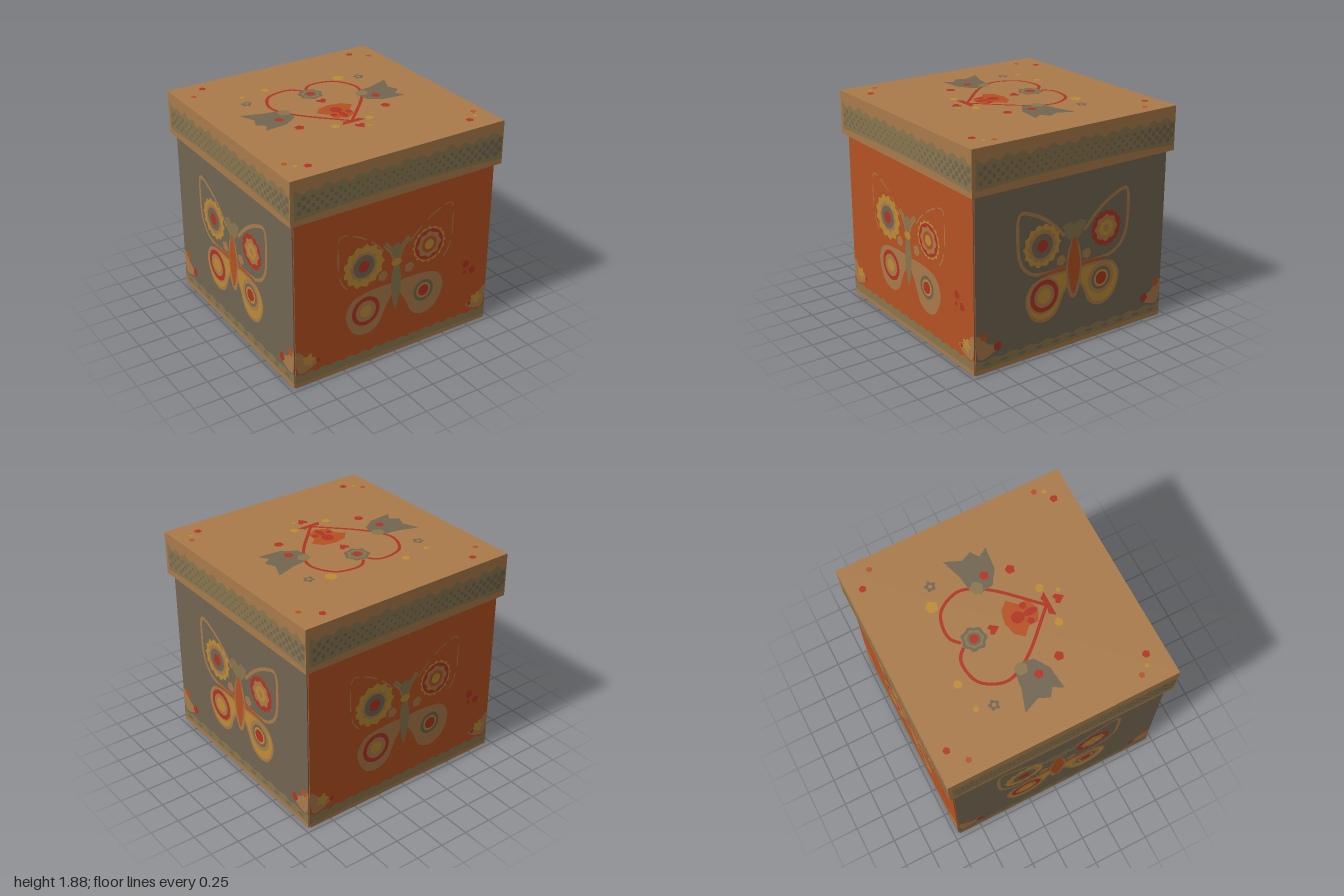
import * as THREE from 'three';

const mat = (name, color) => Object.assign(new THREE.MeshStandardMaterial({ color }), { name });
const tan = mat('tan', 0xaa7b4a), orange = mat('orange', 0xb55222), taupe = mat('taupe', 0x726651);
const olive = mat('olive', 0x8a764e), yellow = mat('yellow', 0xbd8c34), red = mat('red', 0xb23422);
const grey = mat('grey', 0xc4c4c4);

// ---- flat shape helpers ----
const poly = (pts) => new THREE.Shape(pts.map(([x, y]) => new THREE.Vector2(x, y)));
const mirror = (pts, axis = 0) => pts.map(([x, y]) => [2 * axis - x, y]);
const both = (make, pts, axis) => [make(pts), make(mirror(pts, axis))];
const curve = (pts, closed) =>
  new THREE.CatmullRomCurve3(pts.map(([x, y]) => new THREE.Vector3(x, y, 0)), closed);
const smooth = (pts) => poly(curve(pts, true).getPoints(pts.length * 6).slice(0, -1).map((p) => [p.x, p.y]));

// Disc with optional scalloped rim
function disc(x, y, r, petals = 0, depth = 0.08, n = 40) {
  const pts = [];
  for (let i = 0; i < n; i++) {
    const a = (i / n) * Math.PI * 2, k = r * (1 + (petals ? depth * Math.cos(petals * a) : 0));
    pts.push([x + k * Math.cos(a), y + k * Math.sin(a)]);
  }
  return poly(pts);
}
// Two matching flowers either side of a middle line
const twins = (x, y, r, axis = 0, petals = 5, depth = 0.08) =>
  [disc(axis - x, y, r, petals, depth), disc(axis + x, y, r, petals, depth)];

function ellipse(x, y, rx, ry) {
  const s = new THREE.Shape();
  s.absellipse(x, y, rx, ry, 0, Math.PI * 2);
  return s;
}

// Painted line of even width along part of a curve
function ribbon(pts, w, t0 = 0, t1 = 1, n = 40) {
  const c = curve(pts, false), a = [], b = [];
  for (let i = 0; i <= n; i++) {
    const t = t0 + ((t1 - t0) * i) / n, p = c.getPoint(t), d = c.getTangent(t);
    a.push([p.x - (d.y * w) / 2, p.y + (d.x * w) / 2]);
    b.unshift([p.x + (d.y * w) / 2, p.y - (d.x * w) / 2]);
  }
  return poly([...a, ...b]);
}

// Strip between a lower and an upper height function
function band(x0, x1, low, high, n = 120) {
  const a = [], b = [];
  for (let i = 0; i <= n; i++) {
    const x = x0 + ((x1 - x0) * i) / n;
    a.push([x, low(x)]);
    b.unshift([x, high(x)]);
  }
  return poly([...a, ...b]);
}

// Adds one painted plate; higher layers lie over lower ones
function plate(group, name, material, layer, shapes) {
  const mesh = new THREE.Mesh(new THREE.ShapeGeometry(shapes, 8), material);
  mesh.name = name;
  mesh.position.z = layer * 0.0012;
  group.add(mesh);
}
// Concentric rings, each [material, radius, petals]
const spot = (group, name, x, y, layer, ...rings) =>
  rings.forEach(([m, r, petals], i) => plate(group, name, m, layer + i, disc(x, y, r, petals)));

const named = (name) => Object.assign(new THREE.Group(), { name });

// ---- outlines of one side, mirrored for the other ----
const lowerWing = [[0, 0.66], [-0.27, 0.675], [-0.42, 0.63], [-0.48, 0.5], [-0.4, 0.32],
  [-0.28, 0.28], [-0.17, 0.33], [-0.1, 0.47], [-0.02, 0.6]];
const upperWing = [[-0.1, 0.98], [-0.24, 1.12], [-0.4, 1.22], [-0.53, 1.25], [-0.555, 1.05],
  [-0.52, 0.83], [-0.4, 0.72], [-0.06, 0.7]];
const antenna = [[-0.01, 0.88], [-0.05, 0.98], [-0.12, 1.06]];
const cornerLeaf = [[-0.94, 0.34], [-0.84, 0.25], [-0.74, 0.2], [-0.82, 0.14], [-0.92, 0.13]];

// Parts of the picture that all four walls share
function wallArt(name, w, waves) {
  const g = named(name);
  plate(g, 'baseStrip', tan, 1, band(-w, w, () => 0, () => 0.045));
  plate(g, 'baseScallops', olive, 2, band(-w, w, () => 0.038, (x) => 0.1 + 0.023 * Math.abs(Math.sin(x * waves))));
  plate(g, 'cornerLeaves', tan, 1, both(smooth, cornerLeaf));
  plate(g, 'lowerWings', tan, 1, both(smooth, lowerWing));
  plate(g, 'wingSpots', tan, 2, twins(0.13, 0.775, 0.044));
  return g;
}

function orangeArt(w) {
  const g = wallArt('orangeWallArt', w, 25);
  plate(g, 'cornerFlowers', yellow, 3, twins(0.84, 0.23, 0.05, 0.01, 5, 0.25));
  plate(g, 'cornerBuds', red, 3, twins(0.76, 0.2, 0.02, 0.02));
  plate(g, 'looseBuds', red, 1, [disc(0.72, 0.61, 0.035, 3), disc(0.79, 0.53, 0.033, 3), disc(0.71, 0.53, 0.018)]);
  for (let t = 0.03; t < 0.8; t += 0.16)
    plate(g, 'dashedWingOutline', tan, 1, both((p) => ribbon(p, 0.012, t, t + 0.12, 12), upperWing));
  plate(g, 'antennae', tan, 2, both((p) => ribbon(p, 0.045), antenna));
  plate(g, 'antennaCores', olive, 3, both((p) => ribbon(p, 0.018), antenna));
  plate(g, 'chest', olive, 3, ellipse(0, 0.97, 0.045, 0.07));
  plate(g, 'body', olive, 3, smooth([[0, 0.42], [0.05, 0.7], [0, 0.88], [-0.05, 0.7]]));
  plate(g, 'head', yellow, 4, ellipse(0, 0.865, 0.05, 0.035));
  spot(g, 'upperLeftSpot', -0.315, 0.925, 2, [yellow, 0.185, 13], [tan, 0.125, 10], [taupe, 0.1], [red, 0.052]);
  spot(g, 'upperRightSpot', 0.32, 0.93, 2, [yellow, 0.157, 16], [red, 0.14], [tan, 0.112, 8], [orange, 0.075], [yellow, 0.045]);
  spot(g, 'lowerLeftSpot', -0.29, 0.5, 2, [red, 0.133], [tan, 0.097], [yellow, 0.055]);
  spot(g, 'lowerRightSpot', 0.28, 0.505, 2, [taupe, 0.1], [yellow, 0.07], [red, 0.053]);
  return g;
}

function taupeArt(w) {
  const g = wallArt('taupeWallArt', w, 18);
  for (let x = -0.85; x < 0.9; x += 0.17) plate(g, 'baseDot', taupe, 3, ellipse(x, 0.075, 0.04, 0.013));
  plate(g, 'cornerRedFlowers', red, 2, twins(0.757, 0.205, 0.037, 0.012));
  plate(g, 'cornerOrangeFlowers', orange, 2, twins(0.882, 0.318, 0.036, 0.012));
  plate(g, 'wingOutline', tan, 1, both((p) => ribbon(p, 0.03), upperWing));
  plate(g, 'wingSashes', orange, 2, ellipse(0, 0.695, 0.35, 0.018));
  // Yellow panes are the lower wings shrunk towards their middle
  const pane = lowerWing.map(([x, y]) => [-0.04 + x * 0.87, 0.065 + y * 0.87]);
  plate(g, 'lowerWingPanes', yellow, 2, both(smooth, pane));
  const chest = [[0, 0.88], [-0.08, 0.97], [-0.12, 1.06], [-0.05, 1.09], [0, 1.05]];
  plate(g, 'chest', olive, 2, both(poly, chest));
  plate(g, 'bodyRim', tan, 3, ellipse(0, 0.67, 0.08, 0.26));
  plate(g, 'body', orange, 4, smooth([[0, 0.45], [0.062, 0.7], [0, 0.95], [-0.062, 0.7]]));
  spot(g, 'upperLeftSpot', -0.32, 0.945, 2, [yellow, 0.175, 14], [tan, 0.135, 12], [taupe, 0.102], [red, 0.052]);
  spot(g, 'upperRightSpot', 0.325, 0.95, 2, [red, 0.15, 16], [tan, 0.11, 8], [yellow, 0.068, 8], [tan, 0.03]);
  spot(g, 'lowerLeftSpot', -0.295, 0.51, 3, [tan, 0.155], [red, 0.138], [tan, 0.1], [yellow, 0.065]);
  spot(g, 'lowerRightSpot', 0.285, 0.52, 3, [tan, 0.135], [taupe, 0.1], [yellow, 0.075], [red, 0.055]);
  return g;
}

// Wavy olive band with growing dots on a lid side
function lidBandArt(name) {
  const g = named(name), dots = [];
  for (let row = 0; row < 4; row++)
    for (let x = -0.92 + (row % 2) * 0.04; x < 0.96; x += 0.08)
      dots.push(disc(x, 1.595 + row * 0.037, 0.011 + 0.011 * x * x + 0.005 * Math.max(x, 0), 0, 0, 10));
  const wave = (x) => 1.765 + 0.017 * Math.sin(x * 44) + 0.008 * Math.sin(x * 17);
  plate(g, 'wavyBand', olive, 1, band(-0.965, 0.99, (x) => 1.565 - 0.03 * x * x, wave));
  plate(g, 'bandDots', taupe, 2, dots);
  return g;
}

// Heart, birds and blossoms on top of the lid
function lidTopArt() {
  const g = named('lidTopArt');
  const heart = [[-0.05, 0.39], [-0.12, 0.45], [-0.22, 0.46], [-0.36, 0.41], [-0.45, 0.22], [-0.37, 0.02], [-0.03, -0.35]];
  const bird = [[-0.74, 0.21], [-0.56, 0.15], [-0.42, 0.13], [-0.36, 0.07], [-0.38, -0.05], [-0.5, -0.13],
    [-0.7, -0.15], [-0.65, -0.07], [-0.72, -0.02], [-0.68, 0.07]];
  const blossom = [[-0.02, 0.015], [-0.13, -0.01], [-0.19, -0.08], [-0.12, -0.15], [-0.12, -0.23], [-0.02, -0.28]];
  plate(g, 'heartOutline', red, 1, both((p) => ribbon(p, 0.026), heart, -0.03));
  plate(g, 'birds', taupe, 2, both(poly, bird, -0.033));
  plate(g, 'birdHeads', olive, 3, twins(0.38, 0.075, 0.052, -0.03));
  plate(g, 'birdWingDots', red, 3, twins(0.465, -0.027, 0.036, -0.045));
  spot(g, 'topFlower', -0.025, 0.285, 2, [taupe, 0.1, 7], [olive, 0.075, 7], [taupe, 0.055], [red, 0.037]);
  plate(g, 'centreBlossom', orange, 1, both(poly, blossom, -0.02));
  plate(g, 'blossomMarks', red, 2, [ellipse(-0.02, -0.1, 0.05, 0.055), ellipse(-0.02, -0.21, 0.03, 0.06)]);
  plate(g, 'blossomSideMarks', red, 2, twins(0.07, -0.18, 0.028, -0.02));
  plate(g, 'blossomFoot', red, 2, both(poly, [[-0.03, -0.38], [-0.03, -0.35], [-0.1, -0.33], [-0.14, -0.38]], -0.03));
  for (const y of [0.11, -0.465])
    plate(g, 'smallHeart', red, 2, both(poly, [[-0.02, y - 0.045], [-0.02, y + 0.03], [-0.05, y + 0.045], [-0.065, y + 0.014]], -0.02));
  plate(g, 'redBuds', red, 1, [twins(0.412, -0.235, 0.037, -0.037), twins(0.743, 0.875, 0.028, 0.012), twins(0.757, -0.84, 0.03, 0.012)].flat());
  plate(g, 'orangeBuds', orange, 1, [twins(0.878, 0.757, 0.023, 0.008), twins(0.888, -0.725, 0.023, 0.008)].flat());
  plate(g, 'cornerYellowBuds', yellow, 1, twins(0.845, -0.8, 0.018, 0.015));
  plate(g, 'lowerYellowBuds', yellow, 1, twins(0.162, -0.368, 0.034, -0.037));
  plate(g, 'upperYellowBuds', yellow, 1, [disc(-0.3, 0.565, 0.033), disc(-0.54, 0.53, 0.023), disc(0.365, 0.46, 0.048, 5), disc(0.045, -0.49, 0.017)]);
  plate(g, 'taupeFlowers', taupe, 1, twins(0.552, 0.393, 0.041, -0.022, 5, 0.2));
  plate(g, 'taupeFlowerEyes', tan, 2, twins(0.552, 0.393, 0.016, -0.022));
  return g;
}

function box(name, w, h, d, materials, y, z = 0) {
  const m = new THREE.Mesh(new THREE.BoxGeometry(w, h, d), materials);
  m.name = name;
  m.position.set(0, y, z);
  return m;
}

// One wall slab, painted on both its outer and inner face
function wall(name, color, art) {
  const g = named(name), outer = art(0.95), inner = art(0.925);
  outer.position.z = 0.959;
  inner.position.z = 0.929;
  inner.rotation.y = Math.PI;
  g.add(box(name + 'Slab', 1.9, 1.49, 0.03, [color, color, tan, tan, color, color], 0.745, 0.944), outer, inner);
  return g;
}

export function createModel() {
  const model = named('butterflyGiftBox');
  // Orange walls front and back, taupe walls at the sides, a lid band over each
  ['front', 'left', 'back', 'right'].forEach((side, i) => {
    const w = i % 2 ? wall(side + 'Wall', taupe, taupeArt) : wall(side + 'Wall', orange, orangeArt);
    const trim = lidBandArt(side + 'LidBand');
    w.rotation.y = trim.rotation.y = (i * Math.PI) / 2;
    trim.translateZ(0.997);
    model.add(w, trim);
  });
  // Ceiling inside the open underside, and the lid
  model.add(box('innerCeiling', 1.87, 0.02, 1.87, grey, 0.93), box('lid', 1.994, 0.38, 1.994, tan, 1.68));
  const top = lidTopArt();
  top.rotation.x = -Math.PI / 2;
  top.position.y = 1.87;
  model.add(top);
  return model;
}
